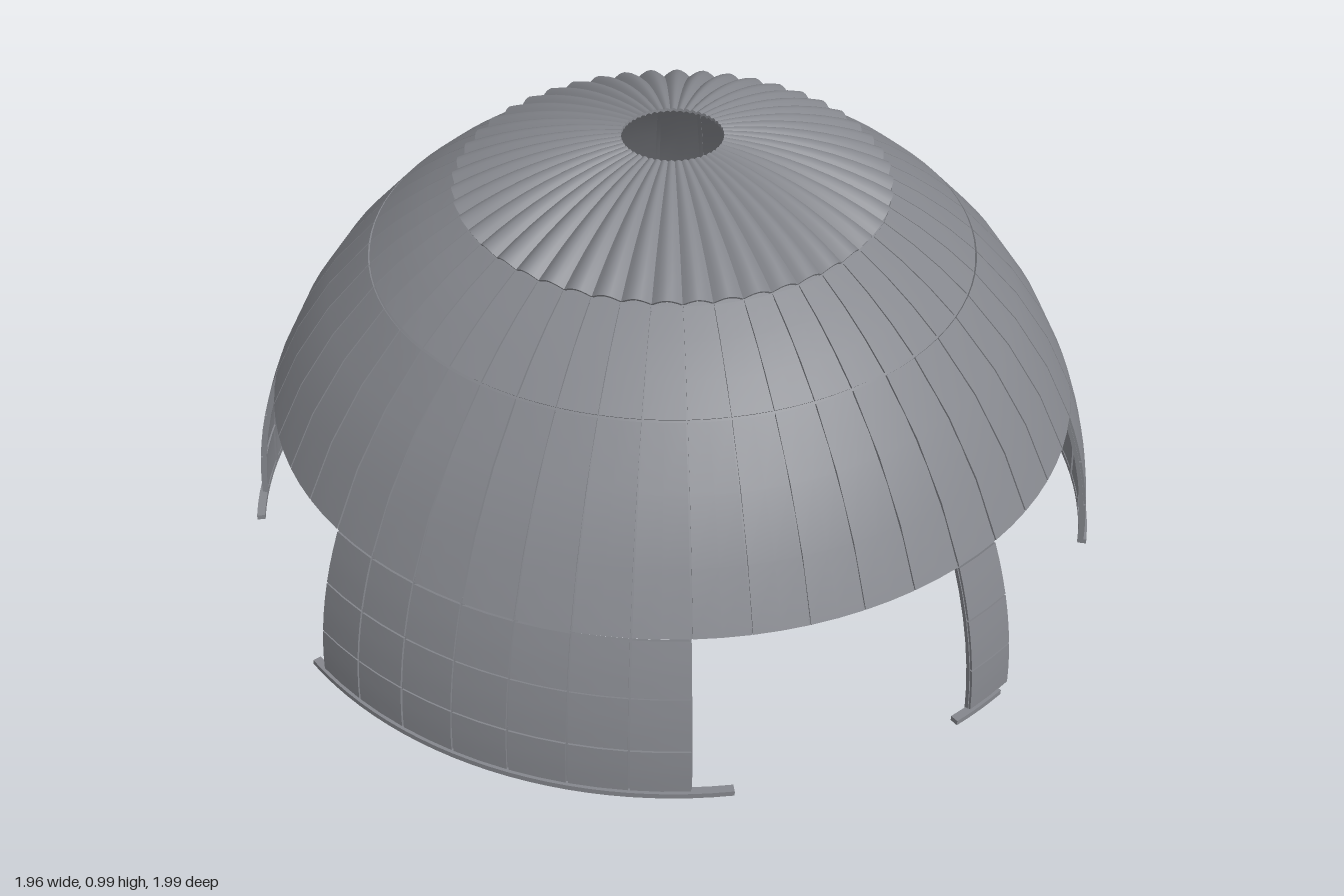
import * as THREE from 'three';
import { mergeGeometries } from 'three/addons/utils/BufferGeometryUtils.js';

const R = 0.99;              // outer dome radius
const SEGMENTS = 48;
const STEP = 360 / SEGMENTS; // degrees per panel
const rad = THREE.MathUtils.degToRad;
const lat = (y) => Math.asin(y / R);

// A box bent onto the sphere: degrees around, heights, inner and outer radius.
function patch(a0, a1, y0, y1, r0, r1, nx = 2, ny = 3, bump = () => 0) {
  const g = new THREE.BoxGeometry(1, 1, 1, nx, ny, 1);
  const p = g.attributes.position;
  const l0 = lat(y0), l1 = lat(y1);
  for (let i = 0; i < p.count; i++) {
    const u = p.getX(i) + 0.5;
    const a = rad(a0 + (a1 - a0) * u);
    const l = l0 + (l1 - l0) * (p.getY(i) + 0.5);
    const r = r0 + (r1 - r0) * (p.getZ(i) + 0.5) + bump(u, l);
    p.setXYZ(i, r * Math.cos(l) * Math.sin(a), r * Math.sin(l), r * Math.cos(l) * Math.cos(a));
  }
  g.computeVertexNormals();
  return g;
}

// One row of separate panels with narrow seams between them
function panelRow(list, a0, a1, y0, y1) {
  const gap = 0.14;
  for (let a = a0; a < a1 - 0.01; a += STEP) {
    list.push(patch(a + gap, a + STEP - gap, y0 + 0.002, y1 - 0.002, 0.98, R));
  }
}

// Thin ribs behind the seams of a row
function seamRibs(list, a0, a1, y0, y1) {
  for (let a = a0; a <= a1 + 0.01; a += STEP) {
    const from = a === a0 ? a : a - 0.35;
    const to = Math.abs(a - a1) < 0.01 ? a : a + 0.35;
    list.push(patch(from, to, y0, y1, 0.976, 0.985, 1, 6));
  }
}

export function createModel() {
  const model = new THREE.Group();
  const dome = new THREE.Group();
  dome.name = 'dome';
  dome.position.x = 0.01;
  model.add(dome);

  const grey = new THREE.MeshStandardMaterial({ color: 0x85878d });
  grey.name = 'metal grey';

  const add = (name, geometries) => {
    const mesh = new THREE.Mesh(mergeGeometries(geometries), grey);
    mesh.name = name;
    dome.add(mesh);
  };

  // Lower walls between the openings: [panel start, end, base strip start, end]
  const walls = [
    ['frontWall', -22.5, 30, -24.5, 35],
    ['leftPost', 67.5, 75, 65, 73],
    ['backLeftWall', 105, 150, 105.4, 154.5],
    ['rightWall', 187.5, 300, 185, 305],
  ];
  const wallRows = [0.008, 0.12, 0.245, 0.368];
  for (const [name, a0, a1, s0, s1] of walls) {
    const panels = [], ribs = [];
    for (let i = 0; i < 3; i++) panelRow(panels, a0, a1, wallRows[i], wallRows[i + 1]);
    seamRibs(ribs, a0, a1, 0.008, 0.368);
    const around = Math.ceil((a1 - a0) / 2.5);
    for (const y of wallRows.slice(1, 3)) {
      ribs.push(patch(a0, a1, y - 0.005, y + 0.005, 0.976, 0.985, around, 1));
    }
    // heavier paired ribs inside, every 45 degrees
    for (let a = 0; a < 360; a += 45) {
      if (a < a0 || a > a1) continue;
      for (const s of [-0.6, 0.6]) {
        ribs.push(patch(a + s - 0.3, a + s + 0.3, 0.008, 0.368, 0.966, 0.981, 1, 8));
      }
    }
    add(name + 'Panels', panels);
    add(name + 'Ribs', ribs);
    add(name + 'BaseStrip', [patch(s0, s1, 0, 0.012, 0.978, 0.997, Math.ceil((s1 - s0) / 2.5), 1)]);
  }

  // Continuous upper shell
  const shell = [], shellRibs = [];
  panelRow(shell, 0, 360, 0.368, 0.725);
  panelRow(shell, 0, 360, 0.725, 0.868);
  seamRibs(shellRibs, 0, 360 - STEP, 0.37, 0.868);
  for (let a = 0; a < 360; a += 45) {
    for (const s of [-0.6, 0.6]) {
      shellRibs.push(patch(a + s - 0.3, a + s + 0.3, 0.37, 0.868, 0.966, 0.981, 1, 10));
    }
  }
  add('upperShellPanels', shell);
  add('upperShellRibs', shellRibs);

  // Rings at the row joints
  const ring = (y, r0, r1) => patch(0, 360, y - 0.005, y + 0.005, r0, r1, 144, 1);
  add('jointRings', [ring(0.374, 0.97, 0.986), ring(0.725, 0.976, 0.985), ring(0.866, 0.968, 0.987)]);

  // Fluted cap with an open eye at the top
  const flutes = [];
  const bulge = (u, l) => 0.035 * Math.cos(l) * Math.sin(Math.PI * u);
  for (let i = 0; i < SEGMENTS; i++) {
    flutes.push(patch(i * STEP, (i + 1) * STEP, 0.868, 0.9837, 0.984, R, 6, 8, bulge));
  }
  add('flutedCap', flutes);

  return model;
}
